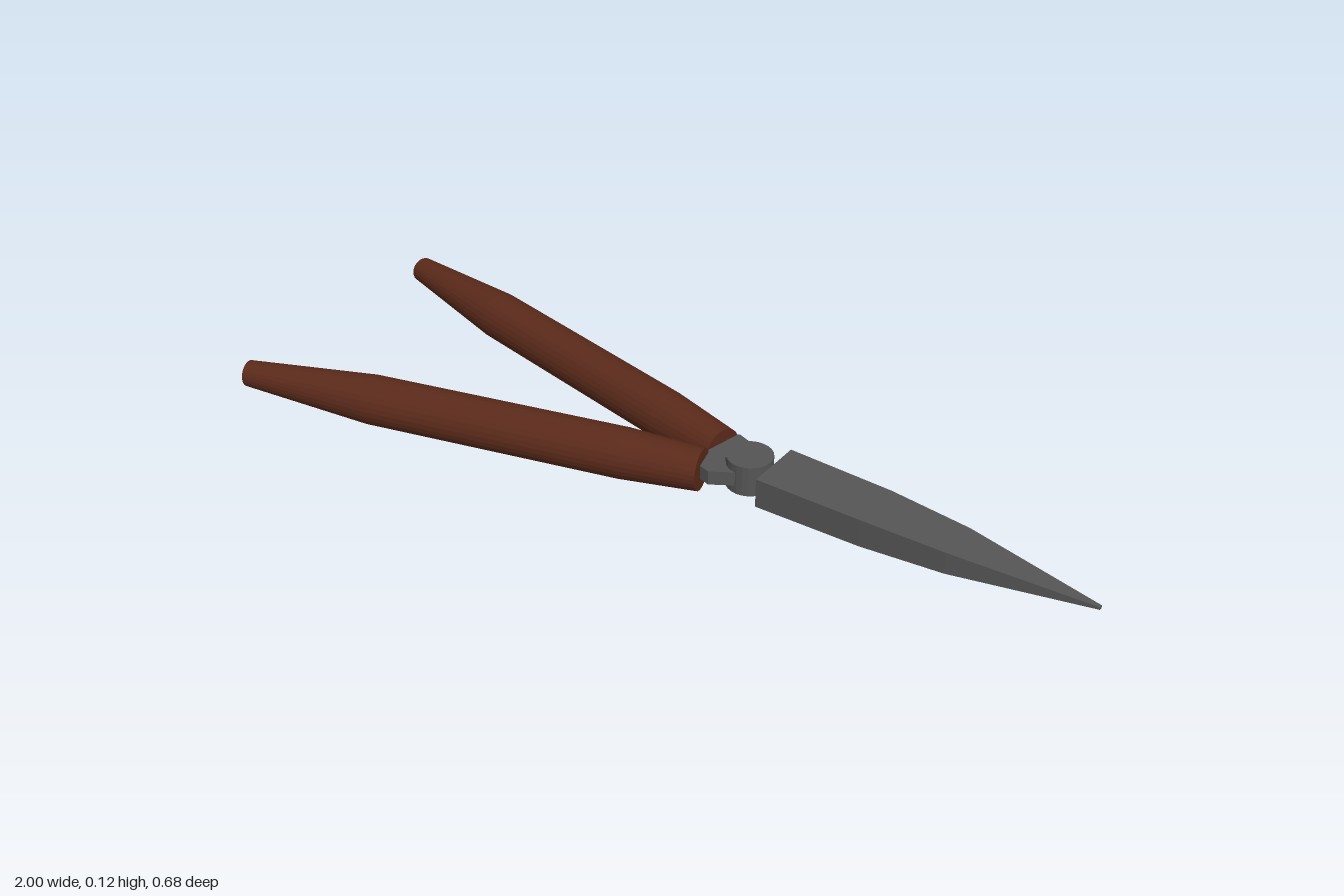
import * as THREE from 'three';

const MID = 0.059; // height of the common centre plane
const PIVOT = { x: 0.19, z: -0.045 };

const wood = new THREE.MeshStandardMaterial({ color: 0x5a2a1a, flatShading: true });
const steel = new THREE.MeshStandardMaterial({ color: 0x555555, flatShading: true });

function addMesh(group, name, geometry, material) {
  const mesh = new THREE.Mesh(geometry, material);
  mesh.name = name;
  group.add(mesh);
  return mesh;
}

// Turned grip running from its outer end to the hinge end
function addHandle(group, name, outer, inner) {
  const a = new THREE.Vector3(outer[0], MID, outer[1]);
  const b = new THREE.Vector3(inner[0], MID, inner[1]);
  const axis = b.clone().sub(a);
  const len = axis.length();
  const profile = [[0, 0], [0.031, 0], [0.058, 0.29], [0.058, 0.84], [0.048, 1], [0, 1]]
    .map(([r, t]) => new THREE.Vector2(r, t * len));
  const handle = addMesh(group, name, new THREE.LatheGeometry(profile, 28), wood);
  handle.position.copy(a);
  handle.quaternion.setFromUnitVectors(new THREE.Vector3(0, 1, 0), axis.normalize());
}

// Rectangular cross-sections [x, half width, half thickness] joined into a tapered blade
function bladeGeometry(sections) {
  const pos = [];
  const index = [];
  for (const [x, w, h] of sections) {
    pos.push(x, h, w, x, h, -w, x, -h, -w, x, -h, w);
  }
  for (let s = 0; s < sections.length - 1; s++) {
    for (let i = 0; i < 4; i++) {
      const a = s * 4 + i;
      const b = s * 4 + (i + 1) % 4;
      index.push(a, a + 4, b, b, a + 4, b + 4);
    }
  }
  const e = (sections.length - 1) * 4;
  index.push(0, 1, 2, 0, 2, 3, e, e + 2, e + 1, e, e + 3, e + 2);
  const geometry = new THREE.BufferGeometry();
  geometry.setAttribute('position', new THREE.Float32BufferAttribute(pos, 3));
  geometry.setIndex(index);
  const flat = geometry.toNonIndexed();
  flat.computeVertexNormals();
  return flat;
}

export function createModel() {
  const group = new THREE.Group();
  group.name = 'shears';

  addHandle(group, 'rearHandle', [-0.992, -0.311], [0.1, -0.074]);
  addHandle(group, 'frontHandle', [-0.978, 0.307], [0.108, 0.018]);

  // Flat tang plate linking both handles to the pivot
  const plate = new THREE.Shape([
    [0.07, -0.1], [0.115, -0.122], [0.195, -0.093], [0.2, -0.002], [0.137, 0.036], [0.08, 0.02],
  ].map(([x, z]) => new THREE.Vector2(x, z)));
  const tangGeometry = new THREE.ExtrudeGeometry(plate, { depth: 0.034, bevelEnabled: false });
  tangGeometry.rotateX(Math.PI / 2);
  addMesh(group, 'tangPlate', tangGeometry, steel).position.y = MID + 0.017;

  // Pivot barrel
  addMesh(group, 'pivot', new THREE.CylinderGeometry(0.052, 0.052, 0.073, 24), steel)
    .position.set(PIVOT.x, MID, PIVOT.z);

  // Closed blades
  const blade = bladeGeometry([
    [0.25, 0.069, 0.035],
    [0.5, 0.064, 0.033],
    [0.69, 0.051, 0.026],
    [1.0, 0.004, 0.003],
  ]);
  addMesh(group, 'blade', blade, steel).position.set(0, MID, PIVOT.z);

  return group;
}
